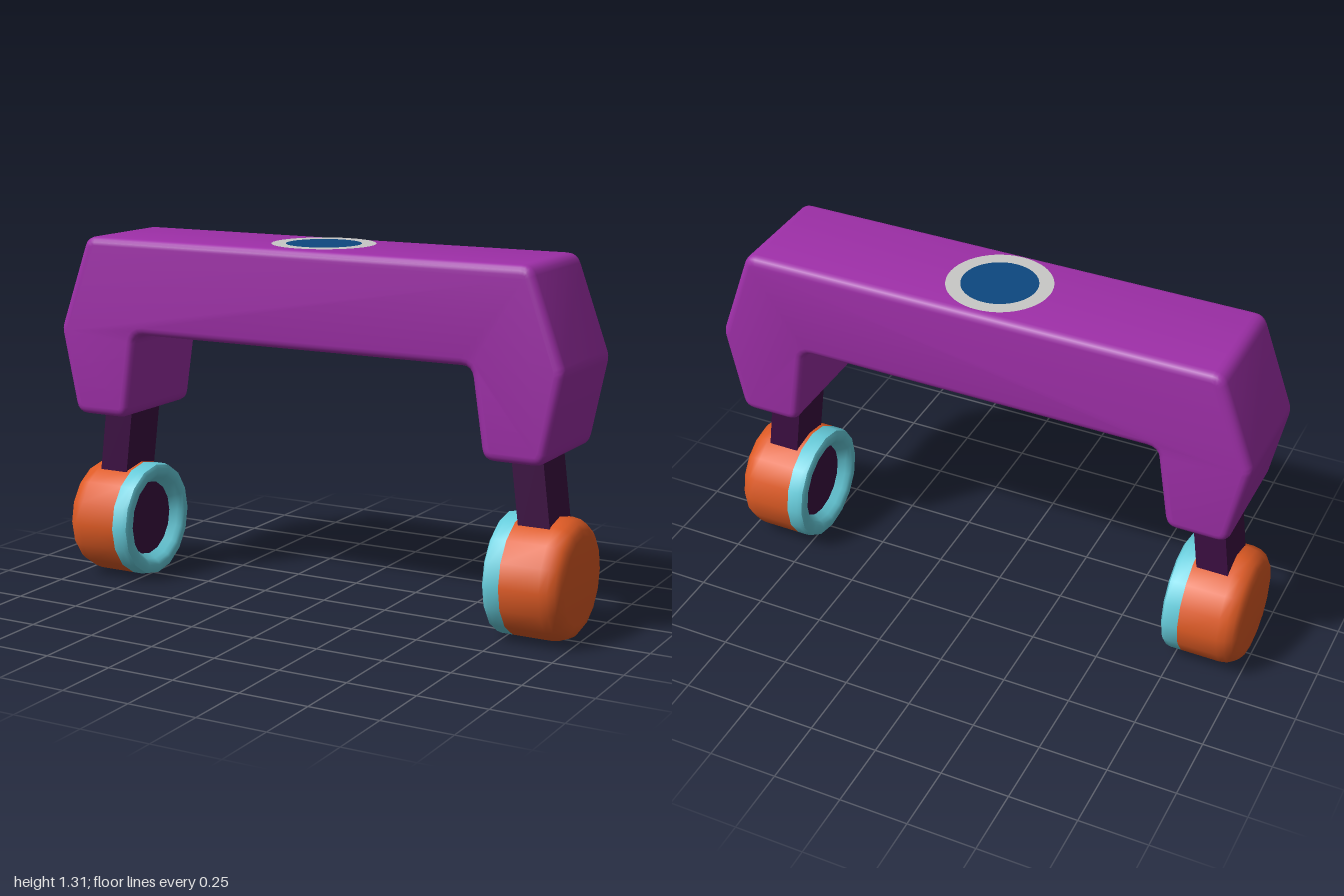
import * as THREE from 'three';
import { toCreasedNormals } from 'three/addons/utils/BufferGeometryUtils.js';

const colour = (name, hex) => {
  const m = new THREE.MeshStandardMaterial({ color: hex });
  m.name = name;
  return m;
};

// Closed polygon with each corner [x, y, cut] softened by a curve
function softPolygon(corners) {
  const shape = new THREE.Shape();
  const n = corners.length;
  const towards = (a, b) => {
    const p = new THREE.Vector2(a[0], a[1]);
    const d = new THREE.Vector2(b[0], b[1]).sub(p).normalize();
    return p.addScaledVector(d, a[2]);
  };
  corners.forEach((c, i) => {
    const start = towards(c, corners[(i + n - 1) % n]);
    const end = towards(c, corners[(i + 1) % n]);
    if (i === 0) shape.moveTo(start.x, start.y);
    else shape.lineTo(start.x, start.y);
    shape.quadraticCurveTo(c[0], c[1], end.x, end.y);
  });
  shape.closePath();
  return shape;
}

// Sixteen-sided lathe turned so its axis runs along +x
function latheX(profile) {
  const g = new THREE.LatheGeometry(profile.map(([r, x]) => new THREE.Vector2(r, x)), 16);
  g.rotateZ(-Math.PI / 2);
  return toCreasedNormals(g, 0.75);
}

export function createModel() {
  const model = new THREE.Group();
  model.name = 'headset';

  const purple = colour('purple', 0x9e2fa8);
  const dark = colour('dark purple', 0x3c0e42);
  const orange = colour('orange', 0xdd5a24);
  const cyan = colour('cyan', 0x66ccdb);
  const grey = colour('light grey', 0xc8c8c6);
  const blue = colour('blue', 0x0d4780);

  const add = (parent, name, geometry, material) => {
    const mesh = new THREE.Mesh(geometry, material);
    mesh.name = name;
    parent.add(mesh);
    return mesh;
  };

  // Headband: angular arch with soft bevels
  const half = [
    [0.875, 1.306, 0.035], [1.0, 0.962, 0.02], [0.935, 0.645, 0.04],
    [0.715, 0.645, 0.04], [0.668, 0.957, 0.035],
  ];
  const mirrored = half.map(([x, y, c]) => [-x, y, c]).reverse();
  const band = new THREE.ExtrudeGeometry(softPolygon([...half, ...mirrored].reverse()), {
    depth: 0.37, curveSegments: 4, bevelEnabled: true, bevelSegments: 4,
    bevelSize: 0.03, bevelOffset: -0.03, bevelThickness: 0.03,
  });
  band.translate(0, 0, -0.185);
  add(model, 'headband', toCreasedNormals(band, 0.55), purple);

  // Round badge on top
  const plate = (name, inner, outer, material) => {
    const g = inner ? new THREE.RingGeometry(inner, outer, 48) : new THREE.CircleGeometry(outer, 48);
    g.rotateX(-Math.PI / 2);
    add(model, name, g, material).position.y = 1.309;
  };
  plate('badgeRim', 0.134, 0.185, grey);
  plate('badgeCentre', 0, 0.134, blue);

  // Strut, cup and cushion on each side
  for (const side of ['left', 'right']) {
    const ear = new THREE.Group();
    ear.name = side + 'Ear';
    if (side === 'right') ear.rotation.y = Math.PI;
    model.add(ear);

    // Slanted strut: the box leans outward towards the bottom
    const strut = new THREE.BoxGeometry(0.117, 0.35, 0.184);
    strut.applyMatrix4(new THREE.Matrix4().makeShear(0, 0, -0.125, 0, 0, 0));
    strut.translate(0.842, 0.535, 0);
    const p = strut.attributes.position;
    for (let i = 0; i < p.count; i++) {
      const z = Math.sign(p.getZ(i)) * 0.092;
      const s = Math.sign(p.getX(i) - 0.842 + 0.125 * (p.getY(i) - 0.535));
      p.setXYZ(i, 0.842 - 0.125 * (p.getY(i) - 0.535) + s * 0.058, p.getY(i), z);
    }
    strut.computeVertexNormals();
    add(ear, 'strut', strut, dark);

    const cup = new THREE.Group();
    cup.name = 'cup';
    cup.position.y = 0.217;
    ear.add(cup);
    add(cup, 'cupShell', latheX([
      [0.215, 0.785], [0.215, 0.93], [0.21, 0.958], [0.197, 0.981], [0.178, 0.995], [0.155, 1.0], [0, 1.0],
    ]), orange);
    add(cup, 'cushion', latheX([
      [0.14, 0.765], [0.157, 0.74], [0.167, 0.725], [0.18, 0.719], [0.198, 0.719], [0.211, 0.727], [0.215, 0.745], [0.215, 0.785],
    ]), cyan);
    add(cup, 'speaker', latheX([[0, 0.765], [0.14, 0.765]]), dark);
  }
  return model;
}
